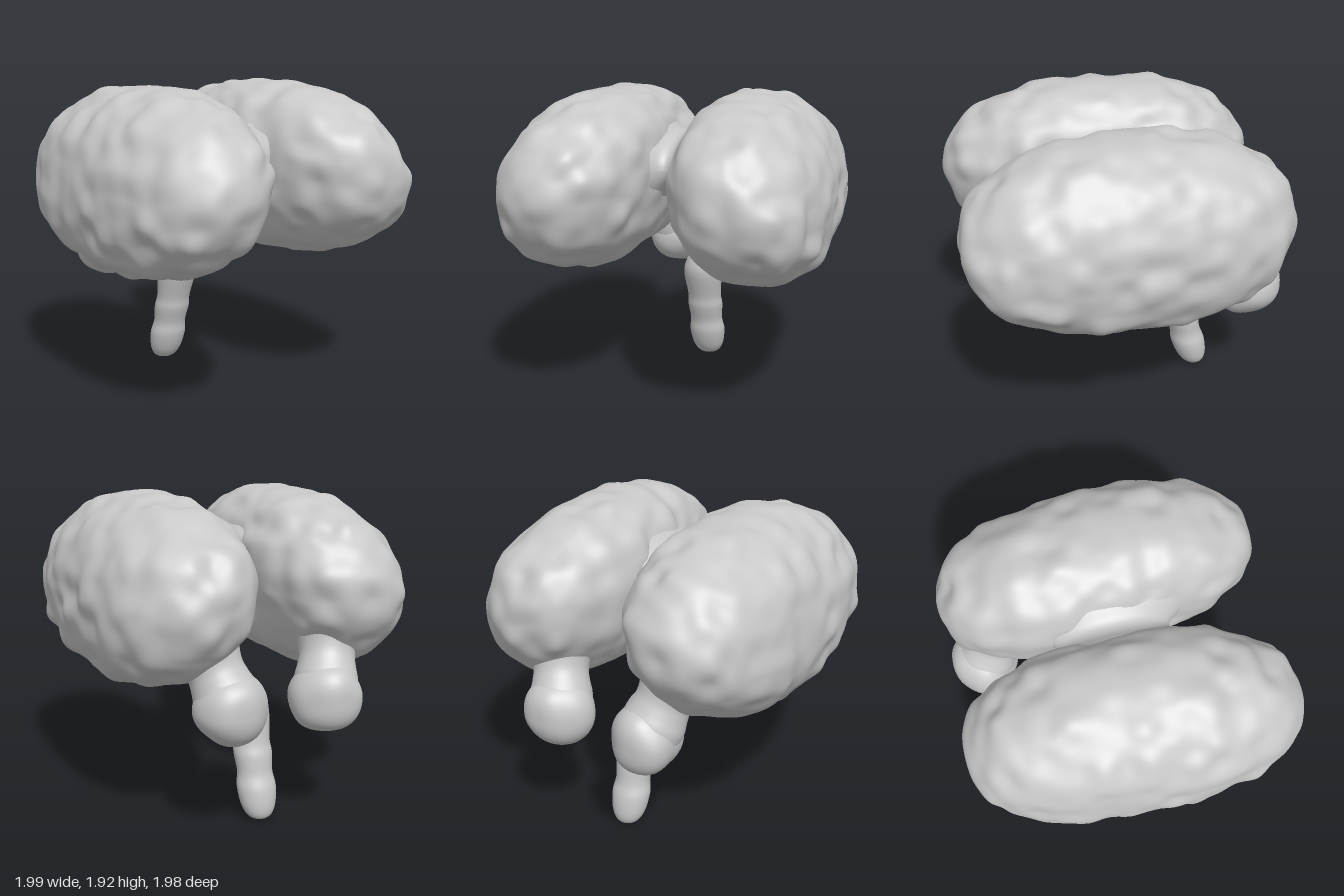
import * as THREE from 'three';
import { mergeVertices } from 'three/addons/utils/BufferGeometryUtils.js';

const grey = new THREE.MeshStandardMaterial({ color: 0xc8c8c8 });
grey.name = 'matte grey';

// Smooth seeded value noise in -1..1, used for the lumpy folds
function hash(x, y, z) {
  const s = Math.sin(x * 127.1 + y * 311.7 + z * 74.7) * 43758.5453;
  return s - Math.floor(s);
}
function noise(x, y, z) {
  const c = [x, y, z].map(Math.floor);
  const [u, v, w] = [x - c[0], y - c[1], z - c[2]].map((t) => t * t * (3 - 2 * t));
  let sum = 0;
  for (let i = 0; i < 8; i++) {
    const a = i & 1, b = (i >> 1) & 1, d = i >> 2;
    sum += hash(c[0] + a, c[1] + b, c[2] + d) * (a ? u : 1 - u) * (b ? v : 1 - v) * (d ? w : 1 - w);
  }
  return sum * 2 - 1;
}

// Rounded superellipsoid with bumps along its surface; fullness widens x towards the ends
function lumpyBlob({ radii, power, fullness, bump, freq, seed, detail }) {
  let geo = new THREE.IcosahedronGeometry(1, detail);
  geo.deleteAttribute('normal');
  geo.deleteAttribute('uv');
  geo = mergeVertices(geo, 1e-5);
  const pos = geo.attributes.position;
  const p = new THREE.Vector3(), n = new THREE.Vector3();
  for (let i = 0; i < pos.count; i++) {
    p.fromBufferAttribute(pos, i).normalize();
    const sum = Math.abs(p.x) ** power + Math.abs(p.y) ** power + Math.abs(p.z) ** power;
    p.multiplyScalar(sum ** (-1 / power));
    n.copy(p).divide(radii).normalize();
    p.x *= 1 + fullness * p.z * p.z;
    p.multiply(radii);
    const k = bump * noise(p.x * freq + seed, p.y * freq + seed * 2, p.z * freq - seed);
    p.addScaledVector(n, k);
    pos.setXYZ(i, p.x, p.y, p.z);
  }
  return geo;
}

// Smooth lathe through a few [radius, height] points
function smoothLathe(points, segments = 40) {
  const curve = new THREE.SplineCurve(points.map(([r, h]) => new THREE.Vector2(r, h)));
  const profile = curve.getPoints(48);
  profile.forEach((q) => { q.x = Math.max(q.x, 0); });
  return new THREE.LatheGeometry(profile, segments);
}

function addPart(group, name, geometry) {
  const mesh = new THREE.Mesh(geometry, grey);
  mesh.name = name;
  group.add(mesh);
  return mesh;
}

export function createModel() {
  const model = new THREE.Group();
  model.name = 'brain';

  for (const side of [1, -1]) {
    const label = side > 0 ? 'left' : 'right';

    // Large hemisphere, leaning inward at the top and slightly splayed at the front
    const lobe = lumpyBlob({
      radii: new THREE.Vector3(0.462, 0.545, 0.972), power: 2.2, fullness: 0.18,
      bump: 0.023, freq: 8, seed: 3 + side, detail: 36,
    });
    const lean = new THREE.Matrix4().set(
      1, -0.12 * side, 0.03 * side, 0.512 * side,
      0, 1, 0, 1.375,
      0, 0, 1, 0.01,
      0, 0, 0, 1);
    lobe.applyMatrix4(lean);
    lobe.computeVertexNormals();
    addPart(model, label + 'Hemisphere', lobe);

    // Small rear lobe hanging below
    const rear = lumpyBlob({
      radii: new THREE.Vector3(0.2, 0.207, 0.215), power: 2.1, fullness: 0,
      bump: 0.02, freq: 6, seed: 9 + side, detail: 18,
    });
    rear.computeVertexNormals();
    addPart(model, label + 'RearLobe', rear).position.set(0.303 * side, 0.8, -0.782);

    // Waisted neck joining the rear lobe to the hemisphere
    const neck = addPart(model, label + 'RearNeck', smoothLathe(
      [[0.18, 0.02], [0.184, 0.09], [0.17, 0.16], [0.163, 0.22], [0.173, 0.28], [0.195, 0.34]]));
    neck.position.set(0.303 * side, 0.81, -0.782);
    const up = new THREE.Vector3(0.1 * side, 0.35, 0.15).normalize();
    neck.quaternion.setFromUnitVectors(new THREE.Vector3(0, 1, 0), up);
  }

  // Flared bridge between the hemispheres
  const bridge = smoothLathe([
    [1.62, -0.19], [1.47, -0.14], [1.24, -0.085], [1.06, -0.04], [1, 0],
    [1.06, 0.04], [1.24, 0.085], [1.47, 0.14], [1.62, 0.19]], 56);
  bridge.rotateZ(Math.PI / 2);
  bridge.scale(1, 0.18, 0.335);
  bridge.computeVertexNormals();
  addPart(model, 'bridge', bridge).position.set(0, 1.48, 0.005);

  // Rippled stem, slanting back toward its foot
  const stem = smoothLathe([
    [0, 0], [0.065, 0.015], [0.104, 0.08], [0.12, 0.19], [0.108, 0.28], [0.118, 0.39],
    [0.112, 0.47], [0.127, 0.64], [0.102, 0.73], [0.06, 0.795], [0, 0.815]]);
  const pos = stem.attributes.position;
  for (let i = 0; i < pos.count; i++) {
    const t = pos.getY(i) / 0.815;
    pos.setZ(i, pos.getZ(i) * 0.94 - 0.565 + 0.208 * t);
  }
  stem.computeVertexNormals();
  addPart(model, 'stem', stem);

  return model;
}
